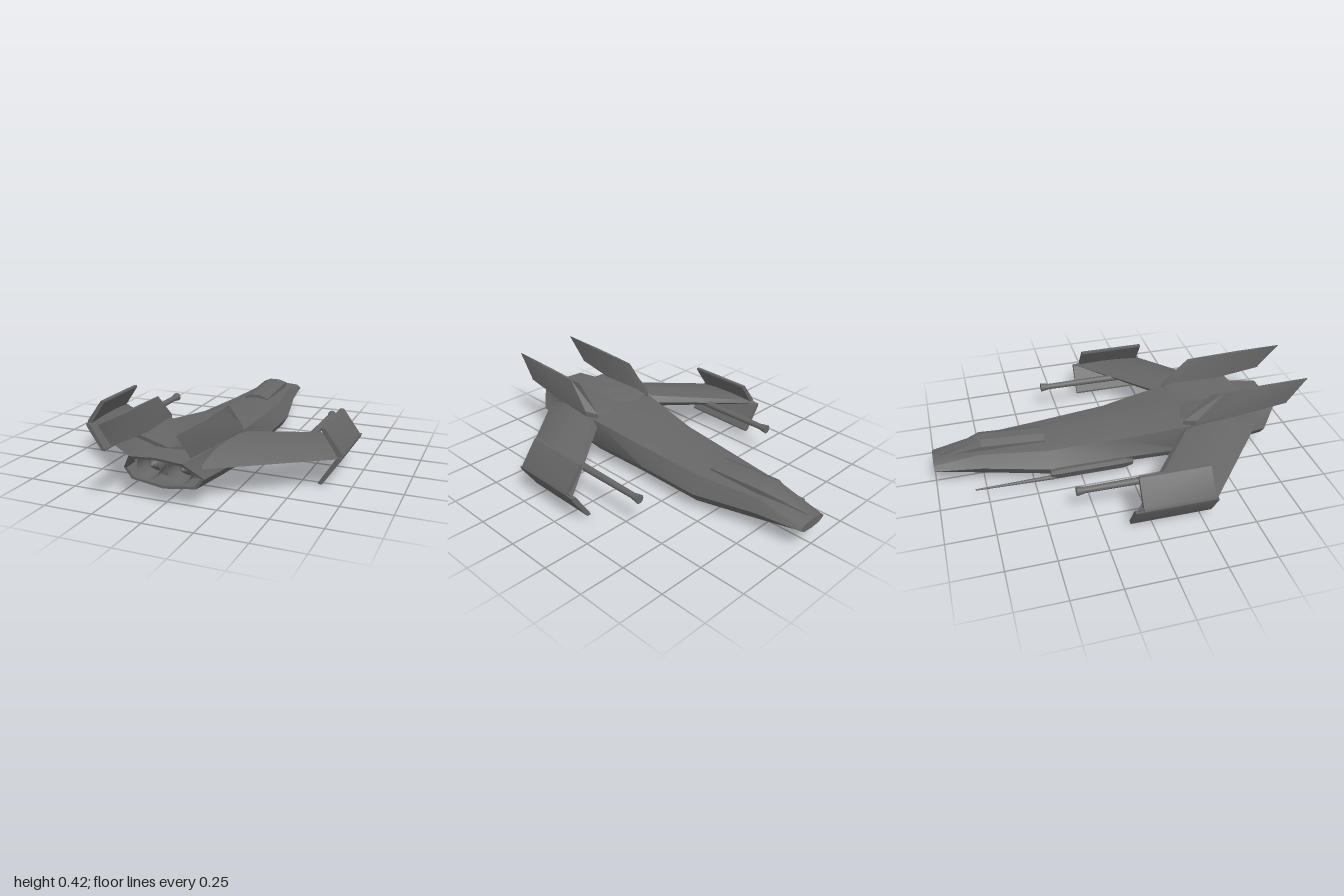
import * as THREE from 'three';
import { toCreasedNormals } from 'three/addons/utils/BufferGeometryUtils.js';

const hull = new THREE.MeshStandardMaterial({ color: 0x666666, side: THREE.DoubleSide });
hull.name = 'hull grey';

// Closed solid through rings of [x, y, z] points, with fan caps; turned outward by its volume.
function loft(rings, crease = 0.7) {
  const tris = [];
  const n = rings[0].length;
  for (let r = 0; r < rings.length - 1; r++) {
    for (let i = 0; i < n; i++) {
      const j = (i + 1) % n;
      const [a, b, c, d] = [rings[r][i], rings[r][j], rings[r + 1][j], rings[r + 1][i]];
      tris.push([a, b, c], [a, c, d]);
    }
  }
  const cap = (ring, flip) => {
    const mid = [0, 1, 2].map((k) => ring.reduce((s, p) => s + p[k], 0) / n);
    for (let i = 0; i < n; i++) {
      const j = (i + 1) % n;
      tris.push(flip ? [mid, ring[j], ring[i]] : [mid, ring[i], ring[j]]);
    }
  };
  cap(rings[0], true);
  cap(rings[rings.length - 1], false);
  let volume = 0;
  for (const [a, b, c] of tris) {
    const u = new THREE.Vector3(...b).cross(new THREE.Vector3(...c));
    volume += u.dot(new THREE.Vector3(...a));
  }
  if (volume < 0) tris.forEach((t) => t.reverse());
  const geo = new THREE.BufferGeometry();
  geo.setAttribute('position', new THREE.Float32BufferAttribute(tris.flat(2), 3));
  return toCreasedNormals(geo, crease);
}

export function createModel() {
  const model = new THREE.Group();
  const ship = new THREE.Group();
  ship.name = 'ship';
  ship.rotation.y = -0.008;
  model.add(ship);

  const add = (name, geo) => {
    const mesh = new THREE.Mesh(geo, hull);
    mesh.name = name;
    ship.add(mesh);
    return mesh;
  };
  // Round part along z, from the nose-side end z0 to the tail-side end z1
  const rod = (name, x, y, z0, z1, r0, r1, open = false) => {
    const geo = new THREE.CylinderGeometry(r1, r0, z1 - z0, 16, 1, open);
    geo.rotateX(Math.PI / 2);
    return add(name, geo.translate(x, y, (z0 + z1) / 2));
  };

  // Fuselage: z, z of upper edge, bottom y, chine, side, shoulder, top y
  const stations = [
    [-1, -1, 0.1, [0.06, 0.105], [0.092, 0.125], [0.07, 0.145], 0.15],
    [-0.76, -0.76, 0.055, [0.09, 0.07], [0.123, 0.12], [0.09, 0.185], 0.205],
    [-0.42, -0.42, 0.003, [0.165, 0.05], [0.197, 0.1], [0.14, 0.18], 0.2],
    [-0.05, -0.05, 0.008, [0.17, 0.055], [0.197, 0.1], [0.165, 0.2], 0.24],
    [0.3, 0.3, 0.015, [0.185, 0.058], [0.22, 0.11], [0.21, 0.245], 0.26],
    [0.5, 0.52, 0.04, [0.18, 0.075], [0.22, 0.125], [0.2, 0.25], 0.26],
    [0.77, 0.845, 0.075, [0.165, 0.098], [0.205, 0.15], [0.135, 0.24], 0.25],
    // rim and exhaust recess
    [0.77, 0.84, 0.088, [0.155, 0.108], [0.19, 0.152], [0.125, 0.228], 0.237],
    [0.66, 0.68, 0.088, [0.155, 0.108], [0.19, 0.152], [0.125, 0.228], 0.237],
  ];
  add('fuselage', loft(stations.map(([z, zt, bot, c, s, h, top]) => [
    [0, bot, z], [...c, z], [...s, z], [...h, zt], [0, top, zt],
    [-h[0], h[1], zt], [-s[0], s[1], z], [-c[0], c[1], z],
  ])));

  // Canopy: z, half width, base y, top y
  const canopy = [
    [-0.97, 0.005, 0.14, 0.162], [-0.75, 0.068, 0.17, 0.235], [-0.42, 0.07, 0.16, 0.216],
  ];
  add('canopy', loft(canopy.map(([z, w, base, top]) => [
    [-w, base, z], [-w, top - 0.018, z], [-w * 0.4, top, z],
    [w * 0.4, top, z], [w, top - 0.018, z], [w, base, z],
  ]), 0.4));

  for (const s of [1, -1]) {
    const side = s > 0 ? 'left' : 'right';

    // Forward swept wing: x, leading z, trailing z, bottom y, top y
    const wing = [
      [0.15, 0.335, 0.755, 0.168, 0.26],
      [0.23, 0.27, 0.695, 0.168, 0.26],
      [0.7, -0.1, 0.305, 0.156, 0.182],
    ];
    add(side + 'Wing', loft(wing.map(([x, zl, zt, lo, hi]) => {
      const at = (f, g) => [s * x, lo + (hi - lo) * g, zl + (zt - zl) * f];
      return [at(0, 0.45), at(0.08, 0.8), at(0.35, 1), at(0.7, 0.75),
        at(1, 0.15), at(0.7, 0), at(0.1, 0.05)];
    })));

    // Chevron wingtip plates
    const plate = (name, yEnd, z0, z1) => {
      const d = Math.sign(yEnd - 0.165);
      add(side + name, loft([z0, z1].map((z) => [
        [s * 0.71, 0.165, z], [s * 0.704, 0.165 + d * 0.018, z], [s * 0.618, yEnd, z],
        [s * 0.6, yEnd, z], [s * 0.6, yEnd - d * 0.01, z], [s * 0.685, 0.165, z],
      ]), 0.4));
    };
    plate('UpperTipPlate', 0.3, -0.065, 0.295);
    plate('LowerTipPlate', 0.02, -0.105, 0.312);

    // Wing cannon with flared muzzle
    rod(side + 'CannonBarrel', s * 0.485, 0.172, -0.31, 0.16, 0.016, 0.02);
    rod(side + 'CannonMuzzle', s * 0.485, 0.172, -0.343, -0.305, 0.024, 0.018);

    // Tail fin, leaning back: ring of front, outer, rear, inner corners at each height
    add(side + 'TailFin', loft([
      [[0.19, 0.25, 0.3], [0.226, 0.255, 0.36], [0.226, 0.28, 0.62],
        [0.195, 0.29, 0.89], [0.16, 0.28, 0.62], [0.165, 0.255, 0.36]],
      [[0.19, 0.275, 0.3], [0.227, 0.285, 0.36], [0.226, 0.29, 0.62],
        [0.195, 0.297, 0.89], [0.16, 0.29, 0.62], [0.17, 0.28, 0.36]],
      [[0.188, 0.412, 0.45], [0.193, 0.412, 0.52], [0.196, 0.417, 0.75],
        [0.186, 0.425, 1.0], [0.18, 0.417, 0.75], [0.183, 0.412, 0.52]],
    ].map((ring) => ring.map(([x, y, z]) => [s * x, y, z])), 0.5));

    // Sloping fairing between fin and spine
    add(side + 'FinFairing', loft([[0.2, 0.265, 0.285, 0.32, 0.66], [0, 0.24, 0.259, 0.3, 0.72]]
      .map(([x, lo, hi, z0, z1]) => [
        [s * x, lo, z0], [s * x, hi, z0 + 0.05], [s * x, hi, z1], [s * x, lo, z1],
      ])));

    // Exhaust nozzle and its inner cone
    rod(side + 'Nozzle', s * 0.08, 0.165, 0.66, 0.765, 0.05, 0.06, true);
    rod(side + 'NozzleCone', s * 0.08, 0.165, 0.665, 0.74, 0.05, 0.006);
  }

  // Gun pod on the right flank with a long needle barrel
  const pod = [[-0.42, 0.8], [-0.38, 1], [-0.03, 1], [0.02, 0.6]];
  add('gunPod', loft(pod.map(([z, k]) => [
    [-0.022, 0.012], [-0.012, 0.032], [0.022, 0.022], [0.022, -0.02], [0.002, -0.034],
  ].map(([x, y]) => [-0.213 + x * k, 0.079 + y * k, z])), 0.5));
  rod('gunNeedle', -0.212, 0.06, -0.81, -0.4, 0.004, 0.012);

  return model;
}
